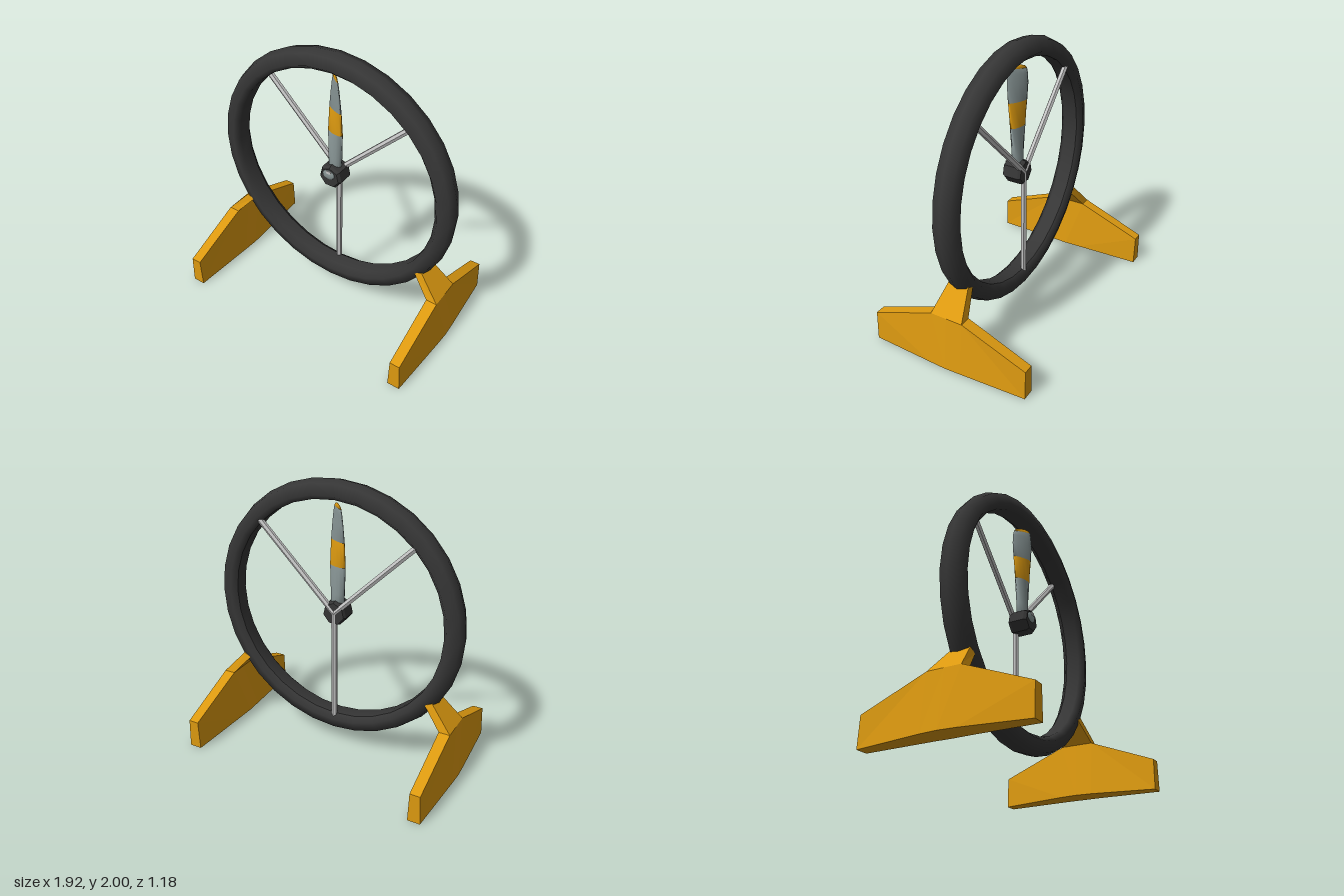
import * as THREE from 'three';

const material = (name, color, extra = {}) =>
  Object.assign(new THREE.MeshStandardMaterial({ color, ...extra }), { name });

// Skins a row of equal-length point loops and closes both ends.
function loft(sections, smooth = false) {
  const n = sections[0].length;
  const pts = sections.flat();
  const tris = [];
  for (let s = 0; s < sections.length - 1; s++) {
    for (let i = 0; i < n; i++) {
      const a = s * n + i, b = s * n + (i + 1) % n;
      tris.push([a, b, b + n], [a, b + n, a + n]);
    }
  }
  const last = (sections.length - 1) * n;
  for (let i = 1; i < n - 1; i++) {
    tris.push([0, i + 1, i], [last, last + i, last + i + 1]);
  }
  // Turn the faces outwards whichever way the loops run.
  const v = (i) => new THREE.Vector3(...pts[i]);
  const origin = v(0);
  let volume = 0;
  for (const [a, b, c] of tris) {
    volume += v(a).sub(origin).dot(v(b).sub(origin).cross(v(c).sub(origin)));
  }
  if (volume < 0) tris.forEach((t) => t.reverse());
  let geo = new THREE.BufferGeometry();
  geo.setAttribute('position', new THREE.Float32BufferAttribute(pts.flat(), 3));
  geo.setIndex(tris.flat());
  if (!smooth) geo = geo.toNonIndexed();
  geo.computeVertexNormals();
  return geo;
}

export function createModel() {
  const model = new THREE.Group();
  const orange = material('orange paint', 0xdd9a10);
  const black = material('dark rubber', 0x363636);
  const grey = material('blade grey', 0x879494);
  const silver = material('strut silver', 0xc4c4c4, { flatShading: true });
  const centreY = 1.065;

  const add = (name, geo, mat, x = 0, y = 0, z = 0) => {
    const mesh = new THREE.Mesh(geo, mat);
    mesh.name = name;
    mesh.position.set(x, y, z);
    model.add(mesh);
    return mesh;
  };

  // Ring
  const profile = [
    [0.805, -0.05], [0.84, -0.09], [0.915, -0.065], [0.935, 0],
    [0.915, 0.065], [0.84, 0.09], [0.805, 0.05], [0.805, -0.05],
  ].map(([r, h]) => new THREE.Vector2(r, h));
  const ring = new THREE.LatheGeometry(profile, 32).rotateX(Math.PI / 2);
  add('ring', ring, black, 0, centreY, 0);

  // Three struts behind the hub
  [Math.PI, Math.PI / 4, -Math.PI / 4].forEach((angle) => {
    const geo = new THREE.CylinderGeometry(0.022, 0.022, 0.83, 6).translate(0, 0.415, 0);
    add('strut', geo, silver, 0, centreY, -0.05).rotation.z = angle;
  });

  // Seven-sided hub with a corner at the top
  const loop = (r, z) => Array.from({ length: 7 }, (_, i) => {
    const t = Math.PI / 2 + i * Math.PI * 2 / 7;
    return [r * Math.cos(t), r * Math.sin(t), z];
  });
  add('hub', loft([loop(0.08, -0.065), loop(0.09, -0.045), loop(0.09, 0.055), loop(0.075, 0.075)]),
    black, 0, centreY, 0);
  const cap = new THREE.SphereGeometry(0.05, 10, 6).scale(1, 0.76, 0.24);
  add('hubCap', cap, grey, -0.006, 1.088, 0.074);
  add('hubGlint', new THREE.BoxGeometry(0.035, 0.022, 0.005), silver, 0, 1.112, 0.084);

  // Twisted blade: height, half chord along x, chord end along z, half thickness
  const blade = [
    [1.08, 0.045, 0, 0.042], [1.2, 0.052, 0.004, 0.036], [1.4, 0.067, 0.018, 0.026],
    [1.58, 0.068, 0.034, 0.018], [1.7, 0.063, 0.044, 0.013], [1.77, 0.056, 0.045, 0.01],
    [1.808, 0.048, 0.042, 0.008], [1.825, 0.037, 0.034, 0.006], [1.833, 0.018, 0.018, 0.003],
  ].map(([y, cx, cz, t]) => {
    const len = Math.hypot(cx, cz);
    return Array.from({ length: 12 }, (_, i) => {
      const a = i * Math.PI / 6, c = Math.cos(a), s = Math.sin(a) * t;
      return [c * cx - s * cz / len, y, c * cz + s * cx / len];
    });
  });
  [['bladeRoot', 0, 2, grey], ['bladeBand', 2, 3, orange],
    ['bladeOuter', 3, 6, grey], ['bladeTip', 6, 8, orange]].forEach(([name, from, to, mat]) => {
    add(name, loft(blade.slice(from, to + 1), true), mat);
  });

  // Feet, mirrored left and right
  const footX = 0.875;
  // z, half width below, half width above, bottom, top
  const footRows = [
    [-0.59, 0.045, 0.037, 0, 0.215], [-0.12, 0.079, 0.04, 0.014, 0.4],
    [0, 0.085, 0.04, 0.015, 0.4],
    [0.12, 0.079, 0.04, 0.014, 0.4], [0.59, 0.045, 0.037, 0, 0.215],
  ];
  for (const side of [1, -1]) {
    const label = side > 0 ? 'left' : 'right';
    const foot = footRows.map(([z, wb, wt, yb, yt]) => [
      [side * (footX - wb), yb, z], [side * (footX + wb), yb, z],
      [side * (footX + wt), yt, z], [side * (footX - wt), yt, z],
    ]);
    add(label + 'Foot', loft(foot), orange);
    // Leaning arm that grips the ring
    const arm = [
      [0.835, 0.4, 0.915, 0.4, 0.12], [0.705, 0.55, 0.76, 0.575, 0.075],
    ].map(([xi, yi, xo, yo, z]) => [
      [side * xi, yi, -z], [side * xo, yo, -z], [side * xo, yo, z], [side * xi, yi, z],
    ]);
    add(label + 'Arm', loft(arm), orange);
  }
  return model;
}
